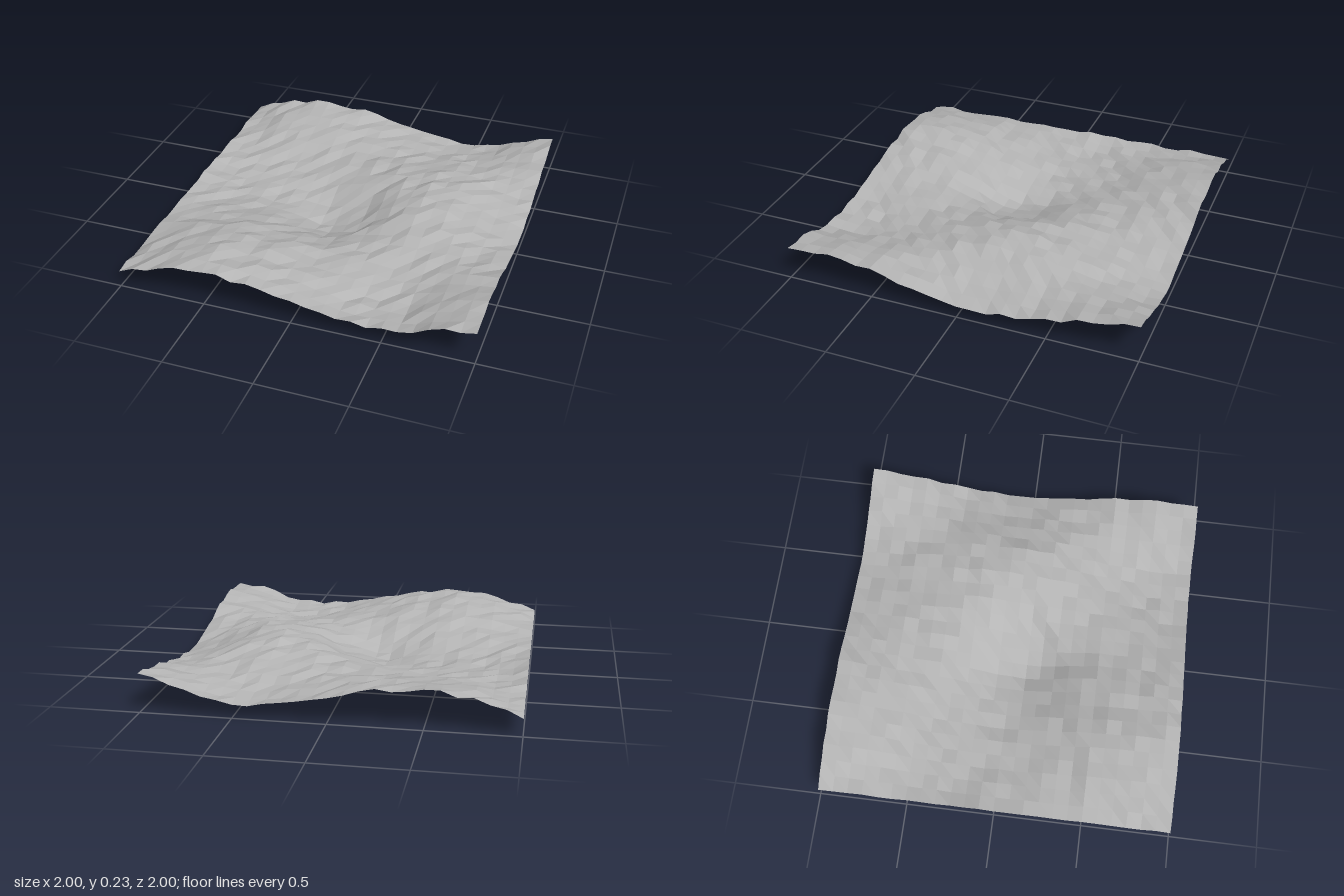
import * as THREE from 'three';

const CELLS = 24;

// Small seeded generator for the surface roughness
function seeded(seed) {
  return () => {
    seed = (seed * 1664525 + 1013904223) % 4294967296;
    return seed / 4294967296;
  };
}

// Smooth interpolation through [position, value] pairs
function profile(points, t) {
  let i = 0;
  while (i < points.length - 2 && t > points[i + 1][0]) i++;
  const [a, va] = points[i];
  const [b, vb] = points[i + 1];
  return THREE.MathUtils.lerp(va, vb, THREE.MathUtils.clamp((t - a) / (b - a), 0, 1));
}

// Wave strength across the width
const WAVE = [
  [-1, 0], [-0.9, 0.028], [-0.75, 0.06], [-0.5, 0.085], [-0.25, 0.055], [0, 0],
  [0.25, -0.05], [0.45, -0.075], [0.6, -0.055], [0.75, 0], [0.87, 0.045], [1, 0.068],
];

// Rolling hills with one hollow near the middle
function groundHeight(x, z) {
  const base = 0.15 - 0.04 * Math.exp(-(((x + 1) / 0.3) ** 2));
  const hills = -profile(WAVE, x) * Math.cos(3.3 * (z + 0.12));
  const hollow = -0.12 * Math.exp(-((x + 0.07) ** 2 + (z - 0.08) ** 2) / 0.28 ** 2);
  return base + hills + hollow;
}

export function createModel() {
  const group = new THREE.Group();
  group.name = 'terrain';

  const stone = new THREE.MeshStandardMaterial({ color: 0xb4b4b4, side: THREE.DoubleSide, flatShading: true });
  stone.name = 'stone grey';

  // Square sheet displaced into faceted ground
  const sheet = new THREE.PlaneGeometry(2, 2, CELLS, CELLS).rotateX(-Math.PI / 2);
  const random = seeded(7);
  const pos = sheet.attributes.position;
  for (let i = 0; i < pos.count; i++) {
    const rough = (random() - 0.5) * 0.024;
    pos.setY(i, groundHeight(pos.getX(i), pos.getZ(i)) + rough);
  }
  sheet.computeBoundingBox();
  sheet.translate(0, -sheet.boundingBox.min.y, 0);

  const faceted = sheet.toNonIndexed();
  faceted.computeVertexNormals();
  const ground = new THREE.Mesh(faceted, stone);
  ground.name = 'groundSurface';
  group.add(ground);
  return group;
}
